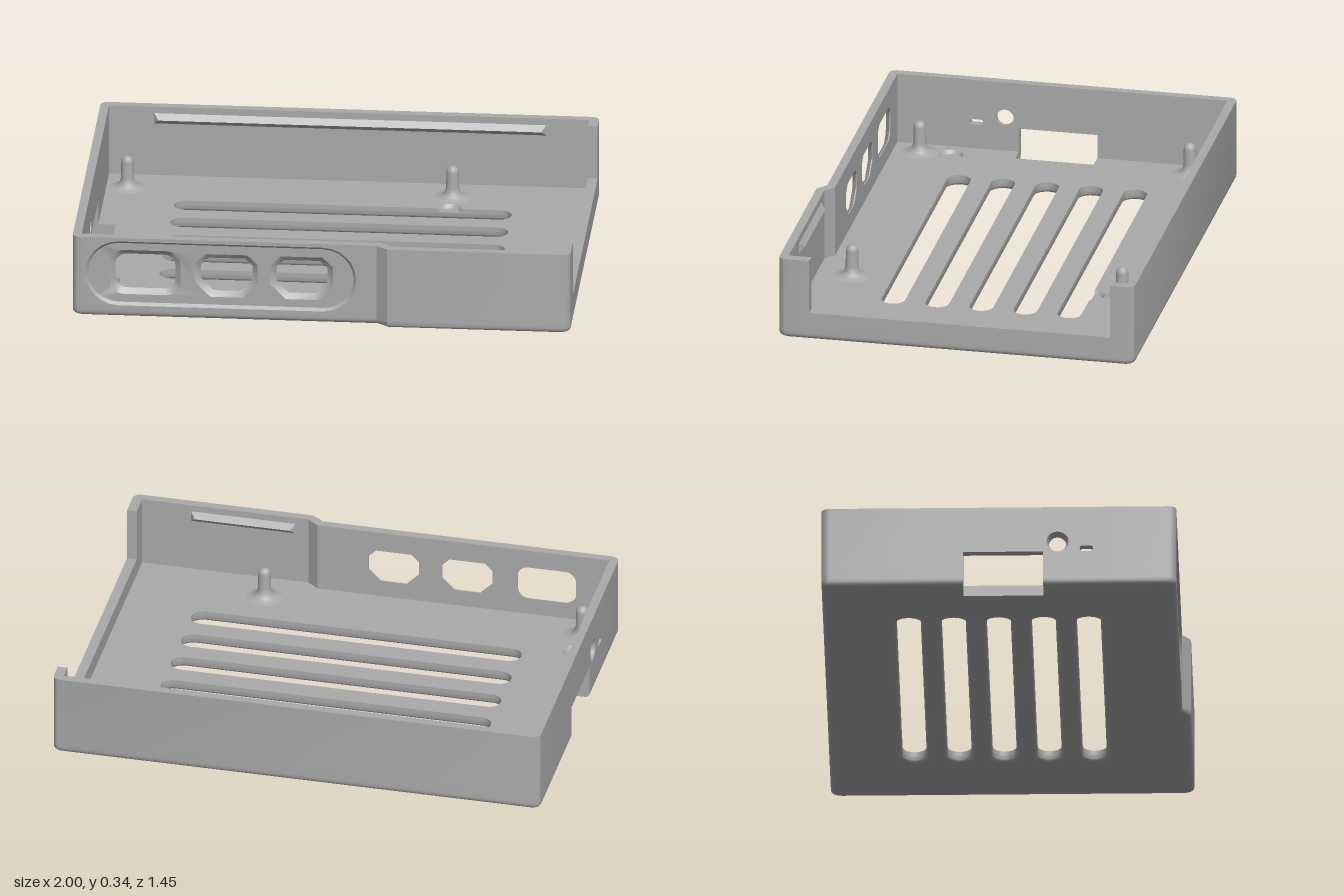
import * as THREE from 'three';
import { toCreasedNormals } from 'three/addons/utils/BufferGeometryUtils.js';

const V = (x, y) => new THREE.Vector2(x, y);
const H = 0.34, FLOOR = 0.045, WALL = 0.035;

// Closed loop from [x, y, cornerRadius] points
function loop(pts) {
  const out = [];
  pts.forEach(([x, y, r], i) => {
    const p = V(x, y);
    if (!r) return out.push(p);
    const toward = (q, len) => V(q[0], q[1]).sub(p).setLength(len).add(p);
    const a = pts[(i + pts.length - 1) % pts.length], b = pts[(i + 1) % pts.length];
    const k = r * 0.448;
    out.push(...new THREE.CubicBezierCurve(toward(a, r), toward(a, k), toward(b, k), toward(b, r)).getPoints(6));
  });
  return out;
}

function roundRect(cx, cy, hw, hh, radius = 1) {
  const r = Math.min(radius, 0.98 * Math.min(hw, hh));
  return loop([[cx - hw, cy - hh, r], [cx + hw, cy - hh, r], [cx + hw, cy + hh, r], [cx - hw, cy + hh, r]]);
}

// Rectangle with cut corners, larger ones at the bottom
function cutRect(cx, cy, hw, hh, top, bot) {
  return loop([[cx - hw + bot, cy - hh], [cx + hw - bot, cy - hh], [cx + hw, cy - hh + bot], [cx + hw, cy + hh - top],
    [cx + hw - top, cy + hh], [cx - hw + top, cy + hh], [cx - hw, cy + hh - top], [cx - hw, cy - hh + bot]]);
}

const circle = (cx, cy, r) =>
  Array.from({ length: 32 }, (_, i) => V(cx + r * Math.cos(i * Math.PI / 16), cy + r * Math.sin(i * Math.PI / 16)));

// Solid joined through sections [depth, outline, holes], capped at both ends
function stack(sections) {
  const orient = (pts, cw) => (THREE.ShapeUtils.isClockWise(pts) === cw ? pts : pts.slice().reverse());
  const secs = sections.map(([t, outline, holes = []]) =>
    ({ t, rings: [orient(outline, false), ...holes.map((h) => orient(h, true))] }));
  const pos = [];
  const put = (p, t) => pos.push(p.x, p.y, t);
  secs.forEach((s, n) => {
    if (n === 0 || n === secs.length - 1) {
      const all = s.rings.flat();
      for (const f of THREE.ShapeUtils.triangulateShape(s.rings[0], s.rings.slice(1))) {
        (n ? f : [f[2], f[1], f[0]]).forEach((i) => put(all[i], s.t));
      }
    }
    if (n === 0) return;
    const low = secs[n - 1];
    s.rings.forEach((hi, r) => hi.forEach((d, i) => {
      const j = (i + 1) % hi.length, lo = low.rings[r];
      put(lo[i], low.t); put(lo[j], low.t); put(hi[j], s.t);
      put(lo[i], low.t); put(hi[j], s.t); put(d, s.t);
    }));
  });
  const g = new THREE.BufferGeometry();
  g.setAttribute('position', new THREE.Float32BufferAttribute(pos, 3));
  return g;
}

// Stack seen in plan: loops are given in (x, z), depth is height
function planStack(sections) {
  const flip = (pts) => pts.map((p) => V(p.x, -p.y));
  return stack(sections.map(([t, o, h = []]) => [t, flip(o), h.map(flip)])).rotateX(-Math.PI / 2);
}

// Footprint with stepped front and card notch, inset by d
function footprint(d) {
  const r = 0.03, x = 1 - d, z = 0.727 - d;
  return loop([[-x, -z, r], [x, -z, r], [x, z, r], [0.265 + 0.35 * d, z], [0.22 + 0.35 * d, z - 0.035],
    [-x, z - 0.035, r], [-x, 0.16], [-0.895, 0.16], [-0.895, -0.16], [-x, -0.16]]);
}

export function createModel() {
  const model = new THREE.Group();
  const grey = new THREE.MeshStandardMaterial({ color: 0xaaaaaa });
  grey.name = 'grey plastic';
  const add = (name, geo, smooth = true) => {
    const mesh = new THREE.Mesh(smooth ? toCreasedNormals(geo, 0.6) : geo, grey);
    mesh.name = name;
    model.add(mesh);
    return mesh;
  };

  // Floor: rounded underside, flared vent slots
  const slots = (grow) => [-0.385, -0.205, -0.025, 0.155, 0.335]
    .map((z) => roundRect(-0.002, z, 0.677 + grow, 0.048 + grow));
  const lower = [];
  for (let i = 0; i <= 4; i++) {
    const a = i * Math.PI / 8, s = 1 - Math.sin(a);
    lower.push([0.02 * (1 - Math.cos(a)), footprint(0.02 * s), slots(0.014 * s)]);
  }
  lower.push([0.03, footprint(0), slots(0)]);
  add('floorBase', planStack(lower));

  // Floor top: two shallow round pockets, one running into the rear slot
  const upper = (y, r) => {
    const holes = slots(0);
    const bump = Array.from({ length: 13 }, (_, i) =>
      V(0.422 - r * Math.cos(i * Math.PI / 12), -0.4335 - r * Math.sin(i * Math.PI / 12)));
    holes[0].splice(7, 0, ...bump);
    return [y, footprint(0), [...holes, circle(-0.88, 0.42, r)]];
  };
  add('floorTop', planStack([upper(0.03, 0.04), upper(FLOOR, 0.05)]));

  // Plain walls, drawn in plan
  const wall = (name, pts, top = H) => {
    const o = loop(pts);
    add(name, planStack([[FLOOR, o], [top, o]]));
  };
  const R = 0.03;
  wall('backWall', [[-1, -0.3], [-1, -0.727, R], [1, -0.727, R], [1, -0.63], [0.96, -0.63],
    [0.96, -0.692], [-0.965, -0.692], [-0.965, -0.3]]);
  wall('frontStepWall', [[1, 0.6], [1, 0.727, R], [0.265, 0.727], [0.22, 0.692], [0.16, 0.692],
    [0.16, 0.657], [0.232, 0.657], [0.277, 0.692], [0.96, 0.692], [0.96, 0.6]]);
  wall('frontCornerWall', [[-1, 0.4], [-1, 0.692, R], [-0.955, 0.692], [-0.955, 0.657], [-0.965, 0.657], [-0.965, 0.4]]);
  wall('sideSill', [[0.96, -0.63], [1, -0.63], [1, 0.6], [0.96, 0.6]], 0.115);

  // Side wall with card notch, round socket and small slot
  const sideOutline = loop([[-0.3, FLOOR], [-0.16, FLOOR], [-0.16, 0.145], [0.16, 0.145], [0.16, FLOOR],
    [0.4, FLOOR], [0.4, H], [-0.3, H]]);
  const sideHoles = (r) => [circle(0.217, 0.187, r), roundRect(0.333, 0.158, 0.027, 0.012)];
  add('socketWall', stack([[1 - WALL, sideOutline, sideHoles(0.035)], [0.985, sideOutline, sideHoles(0.035)],
    [1, sideOutline, sideHoles(0.045)]]).rotateY(-Math.PI / 2));

  // Front wall with three flared ports inside a shallow recess
  const panel = loop([[-0.955, FLOOR], [0.16, FLOOR], [0.16, H], [-0.955, H]]);
  const ports = (g) => [
    roundRect(-0.709, 0.189, 0.12 + g, 0.073 + g, 0.045 + g * 0.5),
    cutRect(-0.383, 0.185, 0.103 + g, 0.07 + g, 0.03 + g * 0.5, 0.05 + g * 0.5),
    cutRect(-0.081, 0.185, 0.103 + g, 0.07 + g, 0.03 + g * 0.5, 0.05 + g * 0.5),
  ];
  add('portWall', stack([[0.657, panel, ports(0)], [0.662, panel, ports(0)], [0.68, panel, ports(0.022)]]));
  const recess = (g) => [roundRect(-0.405, 0.187, 0.532 + g, 0.127 + g)];
  add('portRecessRim', stack([[0.68, panel, recess(0)], [0.692, panel, recess(0.011)]]));

  // Wedge-shaped snap ridges for a lid
  const ridge = (name, x0, x1, z, dir) => {
    const section = (y, d) => [y, loop([[x0, z], [x1, z], [x1 - d, z + dir * d], [x0 + d, z + dir * d]])];
    add(name, planStack([section(0.268, 0.001), section(0.288, 0.02), section(0.312, 0.001)]));
  };
  ridge('backSnapRidge', -0.785, 0.79, -0.693, 1);
  ridge('frontSnapRidge', 0.33, 0.76, 0.693, -1);

  // Board pegs with flared feet and domed tips
  const profile = [[0.075, 0.045], [0.055, 0.049], [0.04, 0.058], [0.031, 0.07], [0.026, 0.09], [0.025, 0.155],
    [0.023, 0.166], [0.017, 0.175], [0.009, 0.179], [0, 0.18]].map(([x, y]) => V(x, y));
  for (const x of [-0.88, 0.424]) {
    for (const z of [-0.557, 0.547]) {
      add('boardPeg', new THREE.LatheGeometry(profile, 24), false).position.set(x, 0, z);
    }
  }
  return model;
}
